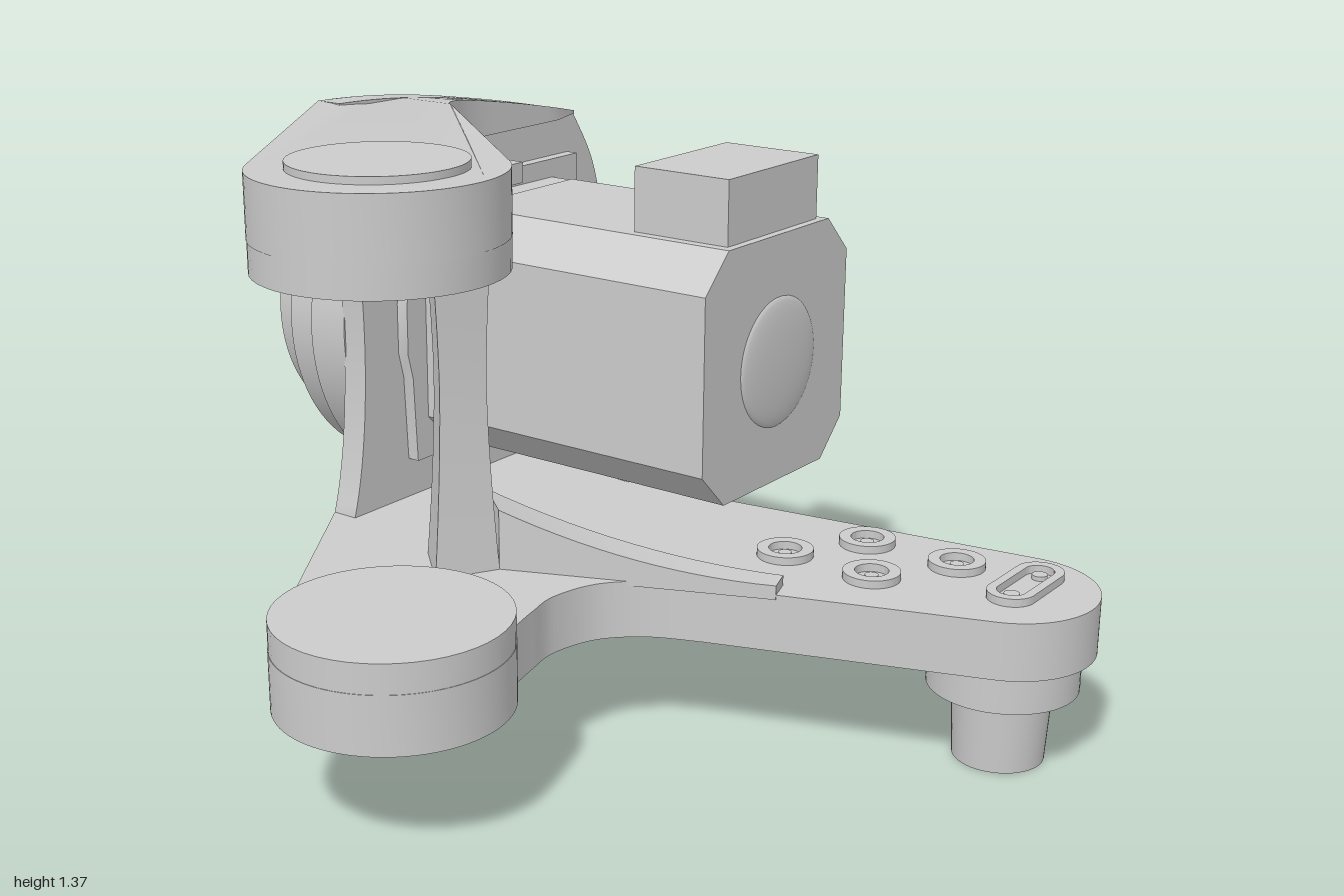
import * as THREE from 'three';
import { toCreasedNormals } from 'three/addons/utils/BufferGeometryUtils.js';

const mat = new THREE.MeshStandardMaterial({ color: 0xcccccc });
const V = (x, y) => new THREE.Vector2(x, y);
const rad = THREE.MathUtils.degToRad;

export function createModel() {
  const group = new THREE.Group();

  const add = (name, geo, crease = 0.5) => {
    const mesh = new THREE.Mesh(toCreasedNormals(geo, crease), mat);
    mesh.name = name;
    group.add(mesh);
    return mesh;
  };
  // Plan outline (x, z) extruded between two heights
  const slab = (shape, y0, y1, steps = 1) =>
    new THREE.ExtrudeGeometry(shape, { depth: y1 - y0, bevelEnabled: false, curveSegments: 24, steps })
      .rotateX(Math.PI / 2).translate(0, y1, 0);
  // Front outline (x, y) extruded between two depths
  const plate = (shape, z0, z1) =>
    new THREE.ExtrudeGeometry(shape, { depth: z1 - z0, bevelEnabled: false, curveSegments: 24 }).translate(0, 0, z0);
  const post = (x, z, y0, y1, rTop, rBottom = rTop) =>
    new THREE.CylinderGeometry(rTop, rBottom, y1 - y0, 48).translate(x, (y0 + y1) / 2, z);
  const box = (x0, x1, y0, y1, z0, z1) =>
    new THREE.BoxGeometry(x1 - x0, y1 - y0, z1 - z0).translate((x0 + x1) / 2, (y0 + y1) / 2, (z0 + z1) / 2);
  // Rectangle with cut corners
  const octagon = (x0, x1, y0, y1, c) => new THREE.Shape([
    V(x0 + c, y0), V(x1 - c, y0), V(x1, y0 + c), V(x1, y1 - c),
    V(x1 - c, y1), V(x0 + c, y1), V(x0, y1 - c), V(x0, y0 + c)]);

  const eye = [-0.59, -0.05], foot = [0.42, 0.8], hub = [0.38, 0.805];

  // Lower arm: two-pronged plate reaching to the side boss and the foot pin
  const lower = new THREE.Shape();
  lower.absarc(foot[0], foot[1], 0.195, rad(-8), rad(160), false);
  lower.lineTo(0.03, 0.28);
  lower.splineThru([V(-0.02, 0.17), V(-0.1, 0.09), V(-0.21, 0.06), V(-0.3, 0.075), V(-0.388, 0.097)]);
  lower.absarc(eye[0], eye[1], 0.25, rad(36), rad(236), false);
  lower.lineTo(-0.12, -0.665);
  lower.lineTo(0.62, -0.66);
  lower.bezierCurveTo(0.6, -0.5, 0.47, -0.45, 0.468, -0.25);
  add('lowerArm', slab(lower, 0.26, 0.39));

  // Upper arm: top face curves down toward the far end
  const upper = new THREE.Shape();
  upper.absarc(eye[0], eye[1], 0.25, rad(36), rad(236), false);
  upper.lineTo(-0.12, -0.665);
  for (let i = 1; i <= 16; i++) upper.lineTo(-0.12 + 0.83 * i / 16, -0.66);
  upper.lineTo(0.7, -0.59);
  for (let i = 0; i <= 6; i++) upper.lineTo(0.6 - 0.25 * i / 6, -0.56);
  upper.bezierCurveTo(0.22, -0.56, 0.14, -0.53, 0.06, -0.43);
  const upperGeo = slab(upper, 1.225, 1.355);
  const p = upperGeo.attributes.position;
  for (let i = 0; i < p.count; i++) {
    const drop = 0.125 * Math.max(0, (p.getX(i) + 0.1) / 0.81) ** 1.5;
    if (p.getY(i) > 1.3) p.setY(i, 1.355 - drop);
  }
  add('upperArm', upperGeo);

  // Round bosses at the ends of the arms
  add('upperBoss', post(...eye, 1.16, 1.3, 0.249));
  add('upperBossCap', post(...eye, 1.35, 1.37, 0.175));
  add('lowerBoss', post(...eye, 0.3, 0.455, 0.249));

  // Back plate joining both arms
  const back = new THREE.Shape();
  back.moveTo(-0.12, 0.26);
  back.lineTo(0.61, 0.26);
  back.lineTo(0.71, 0.385);
  back.splineThru([V(0.785, 0.51), V(0.825, 0.66), V(0.835, 0.8), V(0.825, 0.96), V(0.785, 1.1), V(0.71, 1.222)]);
  back.bezierCurveTo(0.45, 1.29, 0.15, 1.35, -0.12, 1.355);
  back.lineTo(-0.12, 1.225);
  back.bezierCurveTo(-0.05, 1.0, -0.05, 0.6, -0.12, 0.39);
  add('backPlate', plate(back, -0.665, -0.6));

  // Pillar between the arms, narrow at the waist
  const pillar = slab(new THREE.Shape([V(0.02, 0.085), V(-0.11, 0.015), V(0, -0.105), V(0.12, -0.035)]), 0.38, 1.24, 14);
  const q = pillar.attributes.position;
  for (let i = 0; i < q.count; i++) {
    const s = 0.72 + 0.3 * Math.abs((q.getY(i) - 0.81) / 0.43) ** 1.6;
    q.setX(i, q.getX(i) * s - 0.18);
    q.setZ(i, q.getZ(i) * s - 0.215);
  }
  add('pillar', pillar);

  // Rib sweeping from the pillar down along the lower arm
  const rib = new THREE.BoxGeometry(1, 1, 1, 1, 1, 14);
  const r = rib.attributes.position;
  for (let i = 0; i < r.count; i++) {
    const t = r.getZ(i) + 0.5, left = r.getX(i) < 0;
    const from = left ? [-0.16, -0.13] : [-0.07, -0.24], to = left ? [0.08, 0.43] : [0.14, 0.41];
    const y = r.getY(i) < 0 ? 0.38 : 0.412 + 0.115 * (1 - t) ** 2;
    r.setXYZ(i, from[0] + (to[0] - from[0]) * t, y, from[1] + (to[1] - from[1]) * t);
  }
  add('rib', rib);

  // Foot pin under the front prong
  add('footCollar', post(...foot, 0.17, 0.27, 0.165));
  add('footPin', post(...foot, 0, 0.18, 0.11, 0.1));

  // Bolt seats and slotted seat on the front prong
  const hole = (x, z, rr) => new THREE.Path().absarc(x, z, rr, 0, Math.PI * 2, true);
  for (const [x, z] of [[0.29, 0.32], [0.46, 0.43], [0.29, 0.54], [0.46, 0.655]]) {
    const ring = new THREE.Shape().absarc(x, z, 0.063, 0, Math.PI * 2, false);
    ring.holes.push(hole(x, z, 0.037));
    add('boltSeat', slab(ring, 0.385, 0.408));
    add('bolt', post(x, z, 0.385, 0.398, 0.015));
  }
  const slot = (half, rr) => {
    const s = new THREE.Shape();
    s.absarc(0.44 + half, 0.83, rr, -Math.PI / 2, Math.PI / 2, false);
    s.absarc(0.44 - half, 0.83, rr, Math.PI / 2, Math.PI * 1.5, false);
    s.closePath();
    return s;
  };
  const slotRing = slot(0.068, 0.052);
  slotRing.holes.push(slot(0.066, 0.032));
  add('slotSeat', slab(slotRing, 0.385, 0.408));
  for (const x of [0.375, 0.507]) add('slotBolt', post(x, 0.83, 0.385, 0.4, 0.017));

  // Motor body with cut corners, neck, domed front and connector
  add('motorBody', plate(octagon(0.09, 0.66, 0.52, 1.09, 0.085), -0.5, 0.23), 0.3);
  add('motorNeck', plate(octagon(0.11, 0.635, 0.535, 1.085, 0.05), -0.6, -0.5), 0.3);
  const dome = Array.from({ length: 9 }, (_, i) => V(0.15 * Math.sin(i / 8 * Math.PI / 2), 0.016 * Math.cos(i / 8 * Math.PI / 2)));
  add('motorDome', new THREE.LatheGeometry(dome.reverse(), 48).rotateX(Math.PI / 2).translate(hub[0], 0.8, 0.229), 1);
  add('motorConnector', box(0.2, 0.555, 1.08, 1.235, -0.035, 0.21));

  // Mounting flange of the motor with its side tab
  const mount = new THREE.Shape([
    V(0.07, 0.485), V(0.69, 0.485), V(0.7, 0.67), V(0.81, 0.67), V(0.82, 0.8), V(0.81, 0.945), V(0.69, 0.945),
    V(0.685, 1.13), V(0.07, 1.13), V(0.06, 0.93), V(0.045, 0.87), V(0.045, 0.75), V(0.06, 0.69)]);
  add('motorMount', plate(mount, -0.605, -0.57));
  add('mountClip', box(0.32, 0.43, 1.1, 1.15, -0.605, -0.535));

  // Stepped gearbox rings, the larger ones flattened top and bottom
  for (const [rr, flat, z0, z1] of [
    [0.452, 0.4, -0.765, -0.66], [0.418, 0.365, -0.865, -0.76],
    [0.35, 0.35, -0.97, -0.86], [0.295, 0.295, -1, -0.965]]) {
    const pts = Array.from({ length: 96 }, (_, i) => {
      const a = i / 96 * Math.PI * 2;
      return V(hub[0] + rr * Math.cos(a), hub[1] + THREE.MathUtils.clamp(rr * Math.sin(a), -flat, flat));
    });
    add('gearboxRing', plate(new THREE.Shape(pts), z0, z1), 0.3);
  }

  // Outlet tab with a hole below the gearbox
  const outlet = octagon(0.33, 0.43, 0.33, 0.435, 0.025);
  outlet.holes.push(hole(0.38, 0.383, 0.02));
  add('outlet', plate(outlet, -0.97, -0.65), 0.3);
  return group;
}
